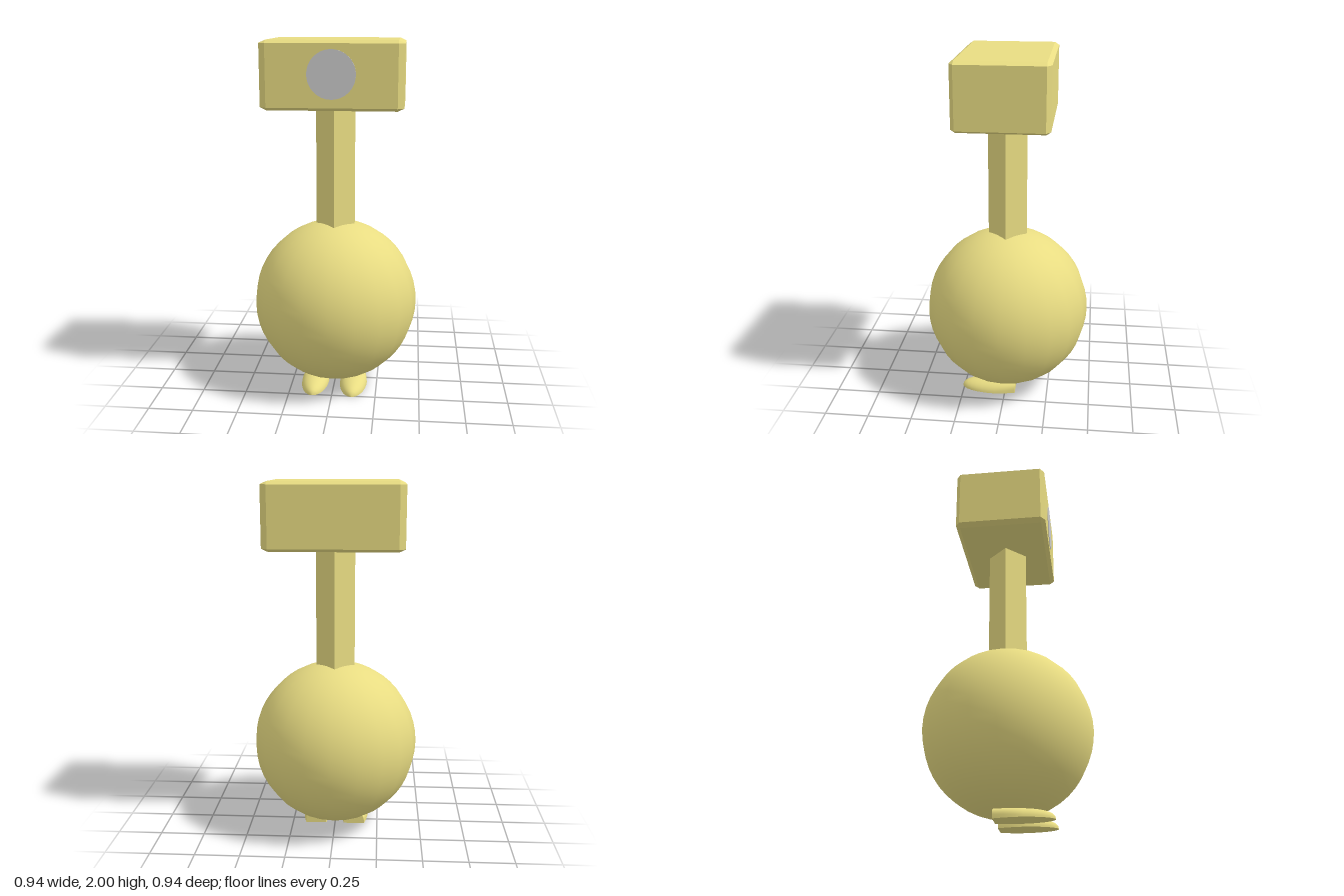
import * as THREE from 'three';
import { ConvexGeometry } from 'three/addons/geometries/ConvexGeometry.js';

const yellow = (extra = {}) => new THREE.MeshStandardMaterial({ color: 0xe8dc82, ...extra });

function addPart(parent, name, geometry, material, x = 0, y = 0, z = 0) {
  const mesh = new THREE.Mesh(geometry, material);
  mesh.name = name;
  mesh.position.set(x, y, z);
  parent.add(mesh);
  return mesh;
}

// Box with every edge cut off, by a different amount along each axis
function chamferedBox(hx, hy, hz, bx, by, bz) {
  const points = [];
  for (const i of [-1, 1]) for (const j of [-1, 1]) for (const k of [-1, 1]) {
    points.push(
      new THREE.Vector3(i * hx, j * (hy - by), k * (hz - bz)),
      new THREE.Vector3(i * (hx - bx), j * hy, k * (hz - bz)),
      new THREE.Vector3(i * (hx - bx), j * (hy - by), k * hz));
  }
  return new ConvexGeometry(points);
}

// Domed shoe lofted along z, with a flat heel and flat sole
function footGeometry() {
  // z, half width, height, boxiness exponent
  const sections = [[-0.06, 0.06, 0.058, 0.6], [0, 0.073, 0.06, 0.75], [0.06, 0.08, 0.06, 0.9]];
  for (let i = 1; i <= 8; i++) {
    const a = (i / 8) * Math.PI / 2;
    sections.push([0.06 + 0.2 * Math.sin(a), 0.08 * Math.cos(a), 0.06 * Math.cos(a) ** 0.75, 1]);
  }
  const n = 16, pos = [], index = [];
  const ring = ([z, w, h, p]) => {
    for (let j = 0; j <= n; j++) {
      const t = (j / n) * Math.PI, c = Math.cos(t);
      const x = Math.sign(c) * Math.abs(c) ** p * w;
      pos.push(x, h * Math.max(0, Math.sin(t)) ** p, z);
    }
  };
  sections.forEach(ring);
  for (let i = 0; i < sections.length - 1; i++) for (let j = 0; j < n; j++) {
    const a = i * (n + 1) + j, b = a + n + 1;
    index.push(a, a + 1, b, a + 1, b + 1, b);
  }
  // heel, with its own vertices for a sharp edge
  const heel = pos.length / 3;
  ring(sections[0]);
  for (let j = 1; j < n; j++) index.push(heel, heel + j + 1, heel + j);
  // sole
  const sole = pos.length / 3;
  for (const [z, w] of sections) pos.push(w, 0, z, -w, 0, z);
  for (let i = 0; i < sections.length - 1; i++) {
    const a = sole + 2 * i;
    index.push(a, a + 2, a + 1, a + 1, a + 2, a + 3);
  }
  const g = new THREE.BufferGeometry();
  g.setAttribute('position', new THREE.Float32BufferAttribute(pos, 3));
  g.setIndex(index);
  g.computeVertexNormals();
  return g;
}

export function createModel() {
  const model = new THREE.Group();
  model.name = 'robot';
  const smooth = yellow();
  const flat = yellow({ flatShading: true });

  // Round body
  addPart(model, 'body', new THREE.SphereGeometry(0.47, 20, 24), smooth, 0, 0.505, 0);

  // Square neck standing corner-forward
  addPart(model, 'neck', new THREE.CylinderGeometry(0.11, 0.11, 0.78, 4), flat, 0, 1.27, 0);

  // Head with a single round eye
  addPart(model, 'head', chamferedBox(0.383, 0.183, 0.257, 0.035, 0.016, 0.024), flat, 0, 1.817, 0);
  const eye = addPart(model, 'eye', new THREE.CylinderGeometry(0.13, 0.13, 0.02, 32),
    new THREE.MeshStandardMaterial({ color: 0xcccccc }), 0, 1.825, 0.25);
  eye.rotation.x = Math.PI / 2;

  // Feet
  const foot = footGeometry();
  for (const side of [-1, 1]) {
    addPart(model, side > 0 ? 'leftFoot' : 'rightFoot', foot, yellow({ side: THREE.DoubleSide }), side * 0.113, 0, 0);
  }
  return model;
}
